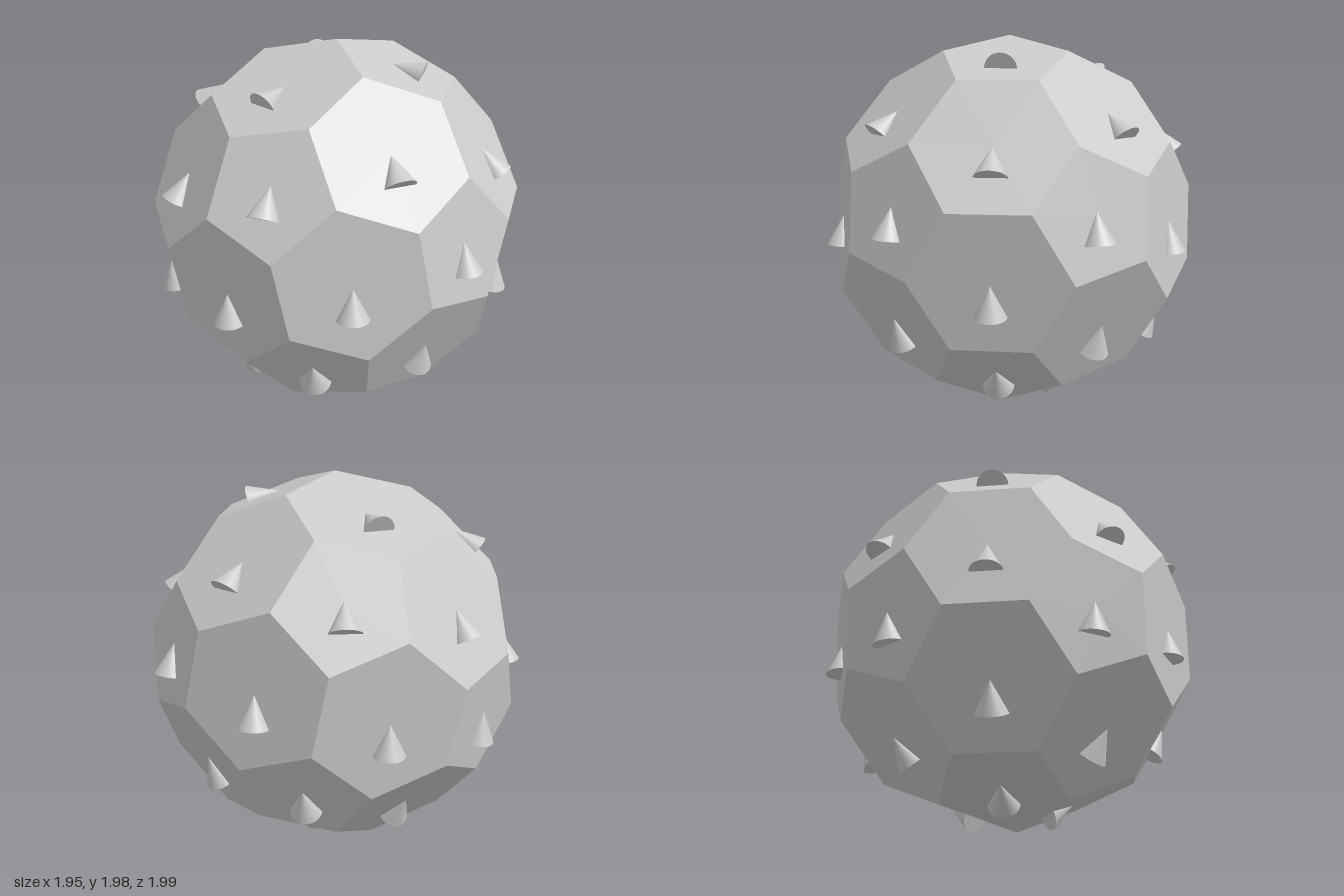
import * as THREE from 'three';

const R = 0.99; // ball circumradius

// The 12 corners of an icosahedron, whose cut tips become the pentagons.
function icosahedronCorners() {
  const p = (1 + Math.sqrt(5)) / 2, out = [];
  for (const a of [-1, 1]) for (const b of [-p, p]) {
    out.push(new THREE.Vector3(0, a, b), new THREE.Vector3(a, b, 0), new THREE.Vector3(b, 0, a));
  }
  return out;
}

const third = (a, b) => a.clone().multiplyScalar(2).add(b).divideScalar(3);

export function createModel() {
  const group = new THREE.Group();
  const material = new THREE.MeshStandardMaterial({ color: 0xcccccc, flatShading: true });
  const coneMaterial = new THREE.MeshStandardMaterial({ color: 0xcccccc });

  const ico = icosahedronCorners();
  const near = (a, b) => Math.abs(a.distanceTo(b) - 2) < 0.01;

  // Turn the ball so that one corner is on top and one edge from it runs towards +x.
  const A = ico[0];
  const B = ico.find((c) => near(A, c));
  const up = third(A, B).normalize();
  let basis;
  for (const C of ico.filter((c) => near(A, c) && near(B, c))) {
    const x = third(A, C).projectOnPlane(up).normalize();
    const z = x.clone().cross(up);
    if (A.dot(z) > 0) basis = new THREE.Matrix4().makeBasis(x, up, z).transpose();
  }
  ico.forEach((c) => c.applyMatrix4(basis));

  // Corners of the ball and outward directions of its 12 pentagons and 20 hexagons.
  const corners = [], faces = [];
  for (const a of ico) {
    faces.push({ normal: a.clone().normalize(), pentagon: true });
    for (const b of ico) if (near(a, b)) corners.push(third(a, b).setLength(R));
  }
  for (let i = 0; i < 12; i++) for (let j = i + 1; j < 12; j++) for (let k = j + 1; k < 12; k++) {
    const [a, b, c] = [ico[i], ico[j], ico[k]];
    if (near(a, b) && near(b, c) && near(a, c)) {
      faces.push({ normal: a.clone().add(b).add(c).normalize(), pentagon: false });
    }
  }

  const positions = [];
  const coneGeometry = new THREE.ConeGeometry(0.081, 0.16, 32);
  const cones = new THREE.Group();
  cones.name = 'cones';

  for (const { normal, pentagon } of faces) {
    // Tangent frame of the face, v pointing uphill
    const v = new THREE.Vector3(0, 1, 0).projectOnPlane(normal).normalize();
    const u = v.clone().cross(normal);
    const dist = Math.max(...corners.map((c) => c.dot(normal)));
    const centre = normal.clone().multiplyScalar(dist);
    const angle = (c) => Math.atan2(c.dot(v), c.dot(u));
    const ring = corners.filter((c) => c.dot(normal) > dist - 0.001).sort((a, b) => angle(a) - angle(b));
    ring.forEach((c, i) => {
      for (const q of [centre, c, ring[(i + 1) % ring.length]]) positions.push(q.x, q.y, q.z);
    });

    // Cone lying half sunk in the face, tip uphill
    const cone = new THREE.Mesh(coneGeometry, coneMaterial);
    cone.name = 'cone';
    cone.quaternion.setFromRotationMatrix(new THREE.Matrix4().makeBasis(u, v, normal));
    cone.position.copy(centre).addScaledVector(v, pentagon ? -0.05 : -0.085);
    cones.add(cone);
  }

  // Ball of pentagons and hexagons
  const geometry = new THREE.BufferGeometry();
  geometry.setAttribute('position', new THREE.Float32BufferAttribute(positions, 3));
  geometry.computeVertexNormals();
  const ball = new THREE.Mesh(geometry, material);
  ball.name = 'ball';

  group.add(ball, cones);
  group.position.set(0, 1.01, -0.02);
  const model = new THREE.Group();
  model.name = 'studdedBall';
  model.add(group);
  return model;
}
